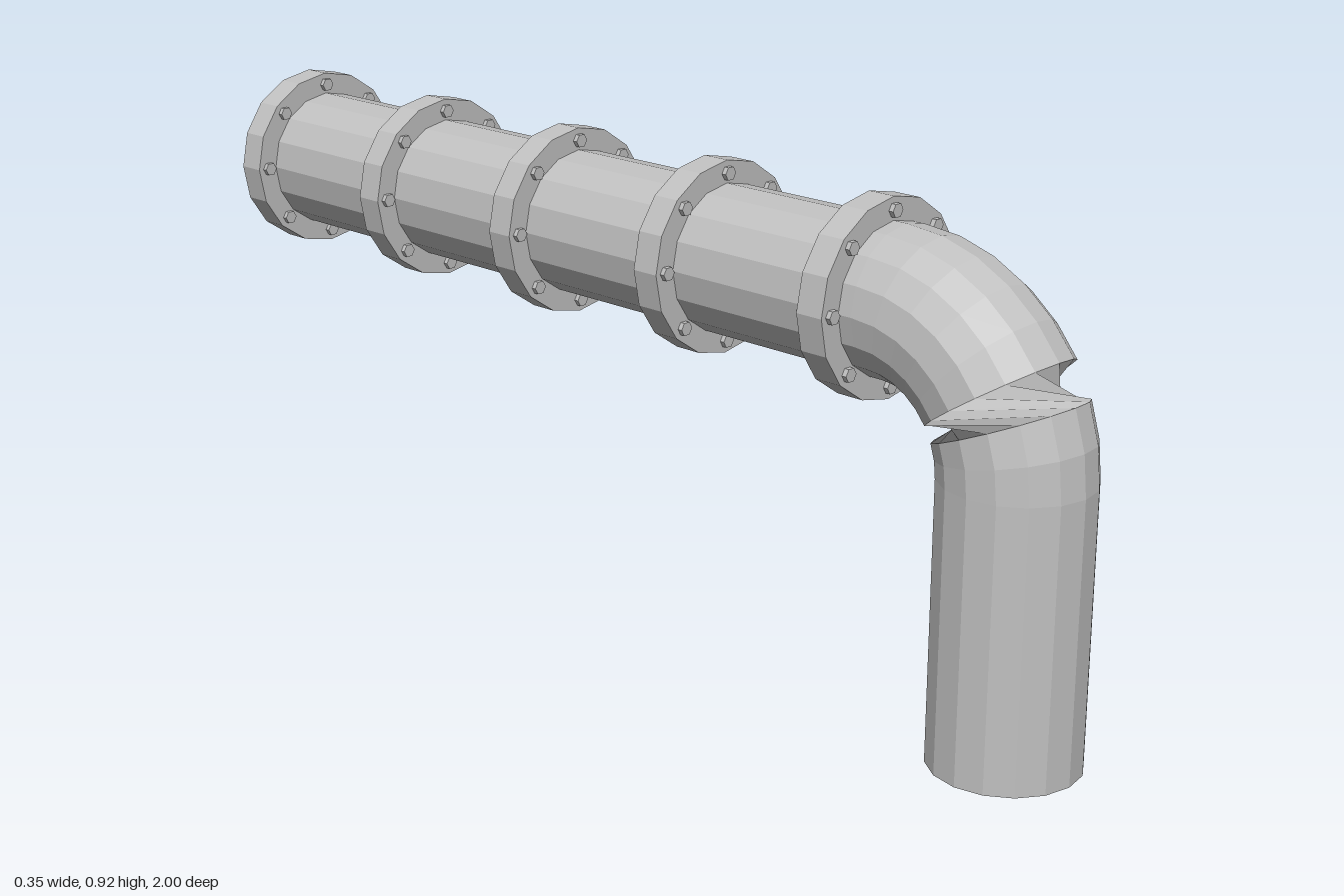
import * as THREE from 'three';

const SIDES = 16;
const PIPE_R = 0.133;
const BEND_R = 0.246;
const BEND_Y = 0.5, BEND_Z = 0.621; // centre of the elbow arc
const AXIS_Y = BEND_Y + BEND_R; // height of the horizontal run

// One ring of the pipe; "angle" is how far the pipe has turned round the elbow
function ring(y, z, angle, twist) {
  const points = [];
  for (let i = 0; i < SIDES; i++) {
    const t = (i / SIDES) * Math.PI * 2 + twist;
    const out = PIPE_R * Math.sin(t);
    points.push(new THREE.Vector3(
      PIPE_R * Math.cos(t), y + out * Math.sin(angle), z + out * Math.cos(angle)));
  }
  return points;
}

// Closed pipe: upright leg, eight-step elbow with a quarter twist, long run
function pipeGeometry() {
  const rings = [ring(0, BEND_Z + BEND_R, 0, 0)];
  for (let k = 0; k <= 8; k++) {
    const a = (k / 8) * Math.PI / 2;
    const twist = k >= 3 ? Math.PI / 2 : 0;
    rings.push(ring(BEND_Y + BEND_R * Math.sin(a), BEND_Z + BEND_R * Math.cos(a), a, twist));
  }
  rings.push(ring(AXIS_Y, -1, Math.PI / 2, Math.PI / 2));

  const pos = [], nor = [];
  const face = (normal, ...corners) => {
    for (const c of corners) {
      pos.push(c.x, c.y, c.z);
      nor.push(normal.x, normal.y, normal.z);
    }
  };
  const first = rings[0], last = rings[rings.length - 1];
  const bottom = new THREE.Vector3(0, 0, BEND_Z + BEND_R), down = new THREE.Vector3(0, -1, 0);
  const end = new THREE.Vector3(0, AXIS_Y, -1), back = new THREE.Vector3(0, 0, -1);
  for (let i = 0; i < SIDES; i++) {
    const j = (i + 1) % SIDES;
    // Each four-sided panel has one normal, so the twisted panels shade evenly
    for (let k = 0; k < rings.length - 1; k++) {
      const a = rings[k][i], b = rings[k][j], c = rings[k + 1][j], d = rings[k + 1][i];
      const normal = b.clone().sub(d).cross(a.clone().sub(c)).normalize();
      face(normal, a, d, c, a, c, b);
    }
    // End caps
    face(down, bottom, first[i], first[j]);
    face(back, end, last[j], last[i]);
  }
  const geometry = new THREE.BufferGeometry();
  geometry.setAttribute('position', new THREE.Float32BufferAttribute(pos, 3));
  geometry.setAttribute('normal', new THREE.Float32BufferAttribute(nor, 3));
  return geometry;
}

// Faceted cylinder lying along z, with a corner on the x axis
function facetedDisc(radius, length, sides) {
  const geometry = new THREE.CylinderGeometry(radius, radius, length, sides)
    .rotateY(Math.PI / 2).rotateX(Math.PI / 2).toNonIndexed();
  geometry.computeVertexNormals();
  return geometry;
}

export function createModel() {
  const model = new THREE.Group();
  model.name = 'flangedPipe';
  const steel = new THREE.MeshStandardMaterial({ color: 0xc0c0c0 });
  steel.name = 'lightGreySteel';

  const pipe = new THREE.Mesh(pipeGeometry(), steel);
  pipe.name = 'pipe';
  model.add(pipe);

  // Flanges along the run, each with eight hexagonal bolts right through
  const discGeometry = facetedDisc(0.174, 0.054, SIDES);
  const boltGeometry = facetedDisc(0.013, 0.072, 6);
  for (let f = 0; f < 5; f++) {
    const flange = new THREE.Group();
    flange.name = 'flange' + (f + 1);
    flange.position.set(0, AXIS_Y, 0.567 - f * 0.374);
    const disc = new THREE.Mesh(discGeometry, steel);
    disc.name = 'flangeDisc';
    flange.add(disc);
    for (let b = 0; b < 8; b++) {
      const a = (b / 8) * Math.PI * 2;
      const bolt = new THREE.Mesh(boltGeometry, steel);
      bolt.name = 'bolt';
      bolt.position.set(0.151 * Math.cos(a), 0.151 * Math.sin(a), 0);
      flange.add(bolt);
    }
    model.add(flange);
  }
  return model;
}
